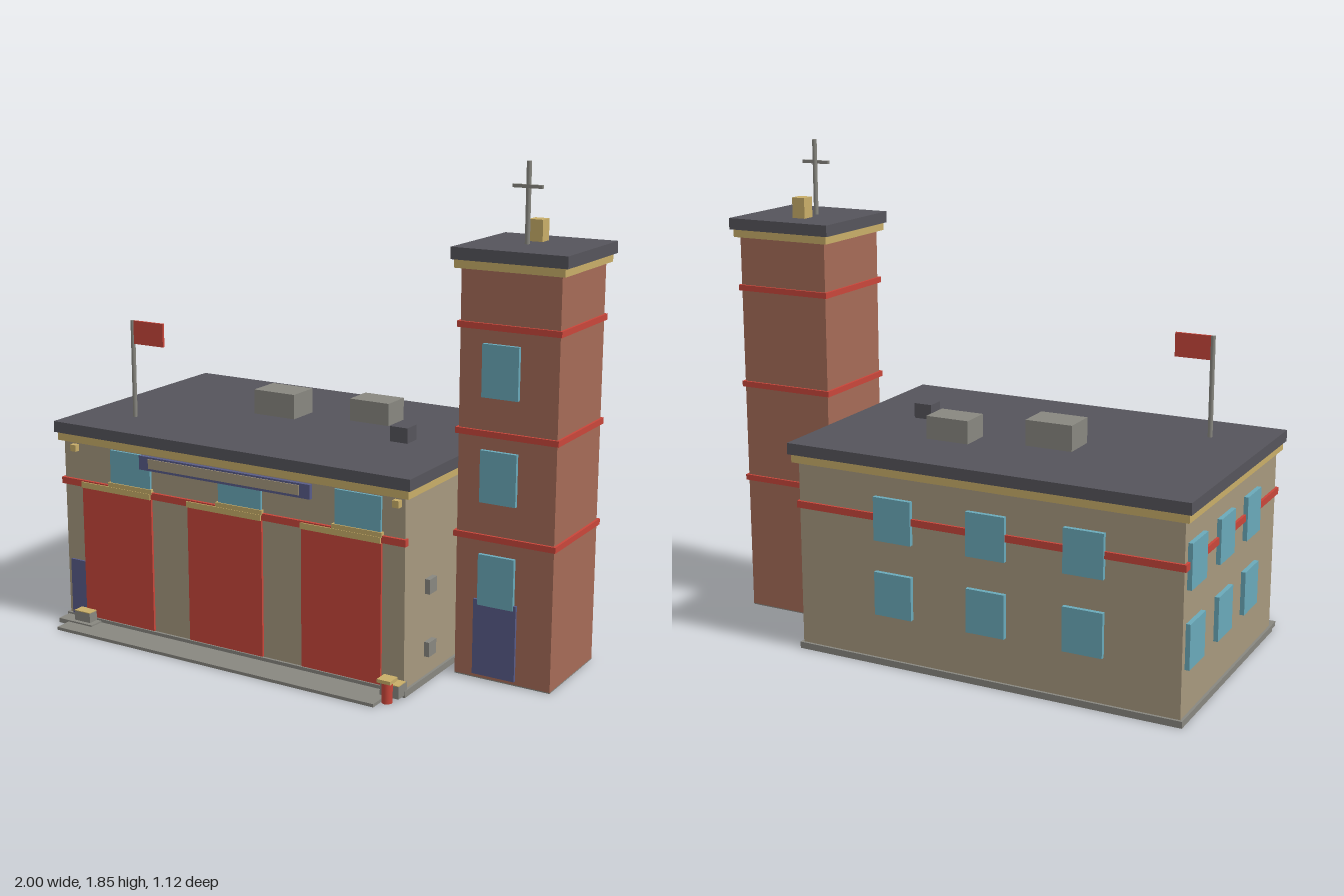
import * as THREE from 'three';

const mat = (name, color) => {
  const m = new THREE.MeshStandardMaterial({ color });
  m.name = name;
  return m;
};

export function createModel() {
  const wall = mat('stoneWall', 0xa6987e);
  const brick = mat('brick', 0xa56b57);
  const red = mat('red', 0xc8463a);
  const slate = mat('slate', 0x55545b);
  const gold = mat('gold', 0xc8ad68);
  const grey = mat('grey', 0x888780);
  const glass = mat('glass', 0x6aa9b9);
  const blue = mat('blue', 0x585b88);

  const model = new THREE.Group();
  model.name = 'fireStation';
  const group = (name) => {
    const g = new THREE.Group();
    g.name = name;
    model.add(g);
    return g;
  };

  // Box given by its extents on each axis
  const box = (parent, name, m, x0, x1, y0, y1, z0, z1) => {
    const mesh = new THREE.Mesh(new THREE.BoxGeometry(x1 - x0, y1 - y0, z1 - z0), m);
    mesh.position.set((x0 + x1) / 2, (y0 + y1) / 2, (z0 + z1) / 2);
    mesh.name = name;
    parent.add(mesh);
    return mesh;
  };
  const pole = (parent, name, m, r, x, y0, y1, z) => {
    const mesh = new THREE.Mesh(new THREE.CylinderGeometry(r, r, y1 - y0, 10), m);
    mesh.position.set(x, (y0 + y1) / 2, z);
    mesh.name = name;
    parent.add(mesh);
    return mesh;
  };

  // Main hall: plinth, walls, cornice, roof
  const hall = group('hall');
  box(hall, 'plinth', grey, -0.98, 0.55, 0, 0.025, -0.54, 0.43);
  box(hall, 'walls', wall, -0.97, 0.54, 0.02, 0.74, -0.53, 0.42);
  box(hall, 'cornice', gold, -0.99, 0.56, 0.73, 0.762, -0.55, 0.436);
  box(hall, 'roof', slate, -1, 0.57, 0.762, 0.805, -0.56, 0.445);

  // Red band on the front, back and right side
  box(hall, 'frontBand', red, -0.98, 0.547, 0.556, 0.582, 0.41, 0.432);
  box(hall, 'backBand', red, -0.98, 0.547, 0.556, 0.582, -0.54, -0.52);
  box(hall, 'sideBand', red, -0.98, -0.96, 0.556, 0.582, -0.54, 0.432);

  // Garage bays: door, lintel, window above with its sill
  const bays = group('garageBays');
  for (const x of [-0.88, -0.38, 0.12]) {
    box(bays, 'garageDoor', red, x, x + 0.33, 0.028, 0.556, 0.41, 0.43);
    box(bays, 'doorLintel', gold, x, x + 0.33, 0.554, 0.577, 0.41, 0.437);
    box(bays, 'bayWindow', glass, x + 0.14, x + 0.328, 0.59, 0.722, 0.41, 0.43);
    box(bays, 'bayWindowSill', gold, x + 0.13, x + 0.335, 0.575, 0.594, 0.41, 0.435);
  }

  // Back and right side windows in two rows
  const windows = group('hallWindows');
  for (const y of [0.197, 0.482]) {
    for (const i of [-1, 0, 1]) {
      const x = -0.235 + i * 0.375;
      box(windows, 'backWindow', glass, x - 0.076, x + 0.076, y, y + 0.165, -0.547, -0.52);
      const z = -0.15 + i * 0.28;
      box(windows, 'sideWindow', glass, -0.987, -0.96, y, y + 0.165, z - 0.073, z + 0.073);
    }
  }

  // Blank sign board
  const sign = group('signBoard');
  box(sign, 'signFrame', blue, -0.597, 0.162, 0.668, 0.722, 0.41, 0.436);
  box(sign, 'signPanel', wall, -0.552, 0.117, 0.678, 0.715, 0.43, 0.44);

  // Front entrance, lamps, wall boxes
  const front = group('frontDetails');
  box(front, 'sideDoor', blue, -0.953, -0.87, 0.025, 0.25, 0.41, 0.428);
  box(front, 'doorStep', grey, -0.973, -0.81, 0, 0.018, 0.41, 0.49);
  box(front, 'apron', grey, -0.925, 0.495, 0, 0.012, 0.41, 0.557);
  for (const x of [-0.912, 0.512]) box(front, 'wallLamp', gold, x - 0.013, x + 0.013, 0.695, 0.721, 0.41, 0.442);
  for (const x of [-0.907, 0.473]) {
    box(front, 'planter', grey, x, x + 0.075, 0.01, 0.056, 0.41, 0.473);
    box(front, 'planterTop', gold, x, x + 0.075, 0.056, 0.059, 0.42, 0.473);
  }
  for (const y of [0.1, 0.337]) box(front, 'wallBox', grey, 0.53, 0.56, y, y + 0.055, 0.217, 0.272);

  // Hydrant
  const hydrant = group('hydrant');
  pole(hydrant, 'hydrantBody', red, 0.02, 0.514, 0, 0.08, 0.493);
  box(hydrant, 'hydrantCap', gold, 0.487, 0.541, 0.078, 0.091, 0.467, 0.52);

  // Roof equipment and flag
  const roofGear = group('roofEquipment');
  box(roofGear, 'largeVent', grey, -0.405, -0.22, 0.8, 0.902, -0.195, -0.06);
  box(roofGear, 'smallVent', grey, -0.027, 0.145, 0.8, 0.892, -0.277, -0.158);
  box(roofGear, 'hatch', slate, 0.26, 0.333, 0.8, 0.863, -0.036, 0.035);
  pole(roofGear, 'flagPole', grey, 0.009, -0.776, 0.8, 1.187, 0.222);
  box(roofGear, 'flag', red, -0.77, -0.63, 1.096, 1.187, 0.217, 0.227);

  // Tower
  const tower = group('tower');
  box(tower, 'towerBase', grey, 0.593, 0.97, 0, 0.004, -0.245, 0.133);
  box(tower, 'towerWalls', brick, 0.593, 0.97, 0.004, 1.5, -0.245, 0.133);
  for (const y of [0.525, 0.905, 1.285]) box(tower, 'towerBand', red, 0.583, 0.979, y, y + 0.022, -0.254, 0.143);
  box(tower, 'towerCornice', gold, 0.573, 0.988, 1.492, 1.522, -0.263, 0.152);
  box(tower, 'towerRoof', slate, 0.563, 1, 1.522, 1.565, -0.273, 0.16);
  box(tower, 'towerDoor', blue, 0.668, 0.835, 0.018, 0.303, 0.12, 0.144);
  for (const y of [0.285, 0.667, 1.047]) box(tower, 'towerWindow', glass, 0.685, 0.825, y, y + 0.19, 0.12, 0.148);

  // Mast and siren on the tower roof
  box(tower, 'siren', gold, 0.732, 0.786, 1.56, 1.643, -0.16, -0.106);
  pole(tower, 'mast', grey, 0.009, 0.76, 1.56, 1.852, -0.036);
  box(tower, 'mastCrossbar', grey, 0.705, 0.818, 1.76, 1.772, -0.034, -0.02);

  return model;
}
